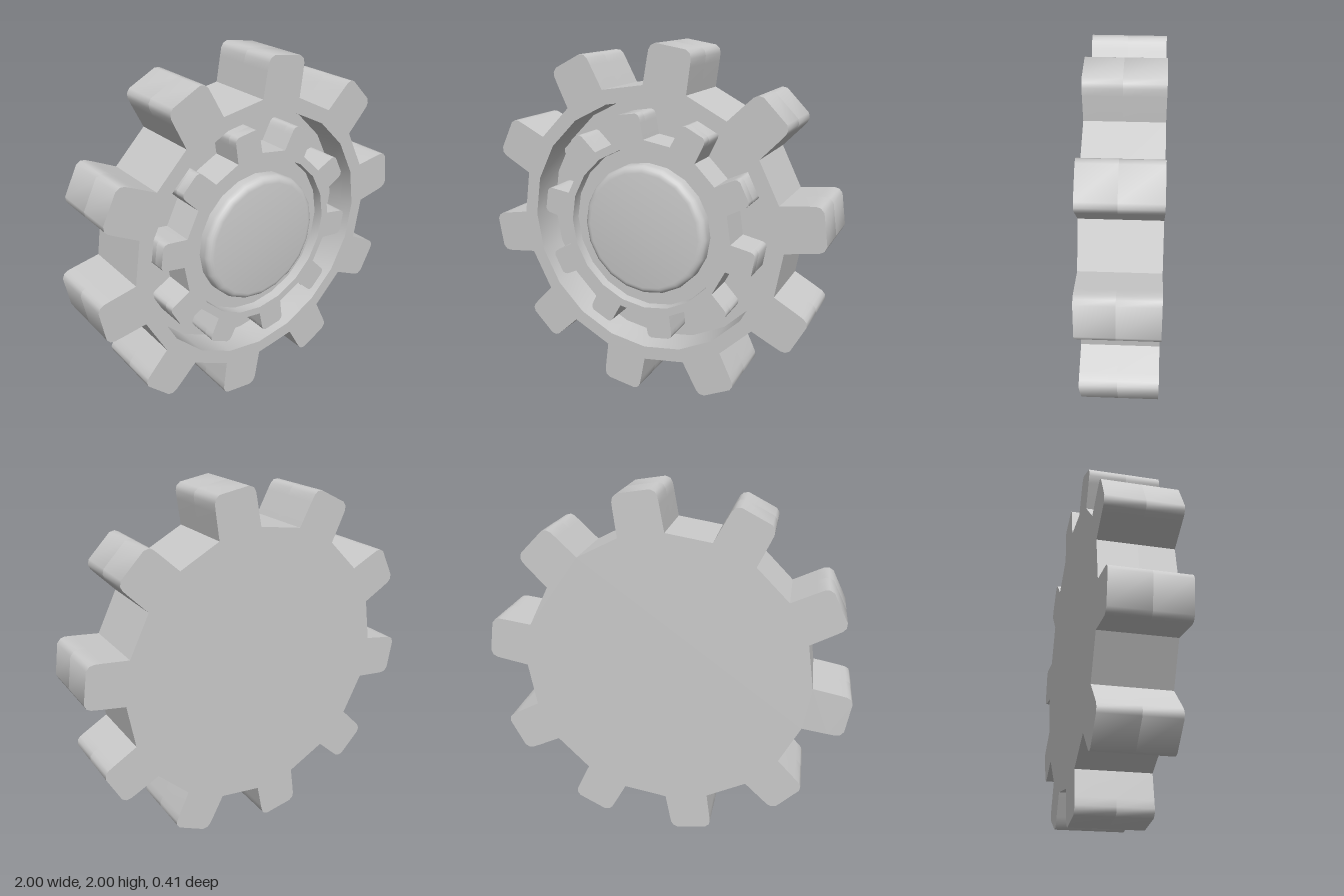
import * as THREE from 'three';
import { toCreasedNormals } from 'three/addons/utils/BufferGeometryUtils.js';

const TEETH = 10, BACK = -0.205, FACE = 0.19, RECESS = 0, GROOVE = 0.13;
const material = new THREE.MeshStandardMaterial({ color: 0xcccccc });

// Half of one tooth: [sideways, outwards], root to tip
const HALF_TOOTH = [[0.1236, 0.78], [0.12, 0.92], [0.118, 0.962], [0.109, 0.985], [0.085, 1.0]];

// Gear outline; teeth stand on every other side of a 20-sided disc
function gearShape(scale, firstAngle) {
  const tooth = [
    ...HALF_TOOTH,
    ...HALF_TOOTH.slice().reverse().map(([u, v]) => [-u, v]),
  ];
  const points = [];
  for (let i = 0; i < TEETH; i++) {
    const a = firstAngle + (i * 2 * Math.PI) / TEETH;
    const c = Math.cos(a), s = Math.sin(a);
    for (const [u, v] of tooth) {
      points.push(new THREE.Vector2((v * c + u * s) * scale, (v * s - u * c) * scale));
    }
  }
  return new THREE.Shape(points);
}

// 20-sided opening with a corner at the top
function cutHole(shape, radius) {
  const points = [];
  for (let i = 0; i < 20; i++) {
    const a = (-i * Math.PI) / 10;
    points.push(new THREE.Vector2(radius * Math.cos(a), radius * Math.sin(a)));
  }
  shape.holes.push(new THREE.Path(points));
  return shape;
}

function slab(name, shape, zBack, zFront) {
  const geometry = new THREE.ExtrudeGeometry(shape, { depth: zFront - zBack, bevelEnabled: false });
  geometry.translate(0, 0, zBack);
  const mesh = new THREE.Mesh(toCreasedNormals(geometry, 0.75), material);
  mesh.name = name;
  return mesh;
}

export function createModel() {
  const model = new THREE.Group();
  model.name = 'gearWheel';
  const tilt = Math.PI / 20;
  const outer = () => gearShape(1, Math.PI / 2 - tilt);
  const inner = () => gearShape(0.64, Math.PI / 2 + tilt);

  // Large gear: solid back and a rim around the recess
  model.add(slab('outerGearBack', outer(), BACK, RECESS));
  model.add(slab('outerGearRim', cutHole(outer(), 0.71), RECESS, FACE));

  // Small gear inside the recess, with a shallow groove around the hub
  model.add(slab('innerGearBase', inner(), RECESS, GROOVE));
  model.add(slab('innerGearRim', cutHole(inner(), 0.46), GROOVE, FACE));

  // Central hub with a rounded edge
  const profile = [new THREE.Vector2(0.37, GROOVE)];
  for (let i = 0; i <= 5; i++) {
    const a = (i * Math.PI) / 10;
    profile.push(new THREE.Vector2(0.33 + 0.04 * Math.cos(a), 0.17 + 0.04 * Math.sin(a)));
  }
  profile.push(new THREE.Vector2(0, 0.21));
  const hubGeometry = new THREE.LatheGeometry(profile, 20);
  hubGeometry.rotateX(Math.PI / 2);
  const hub = new THREE.Mesh(toCreasedNormals(hubGeometry, 0.6), material);
  hub.name = 'hub';
  model.add(hub);

  model.position.y = 1;
  const root = new THREE.Group();
  root.add(model);
  return root;
}
